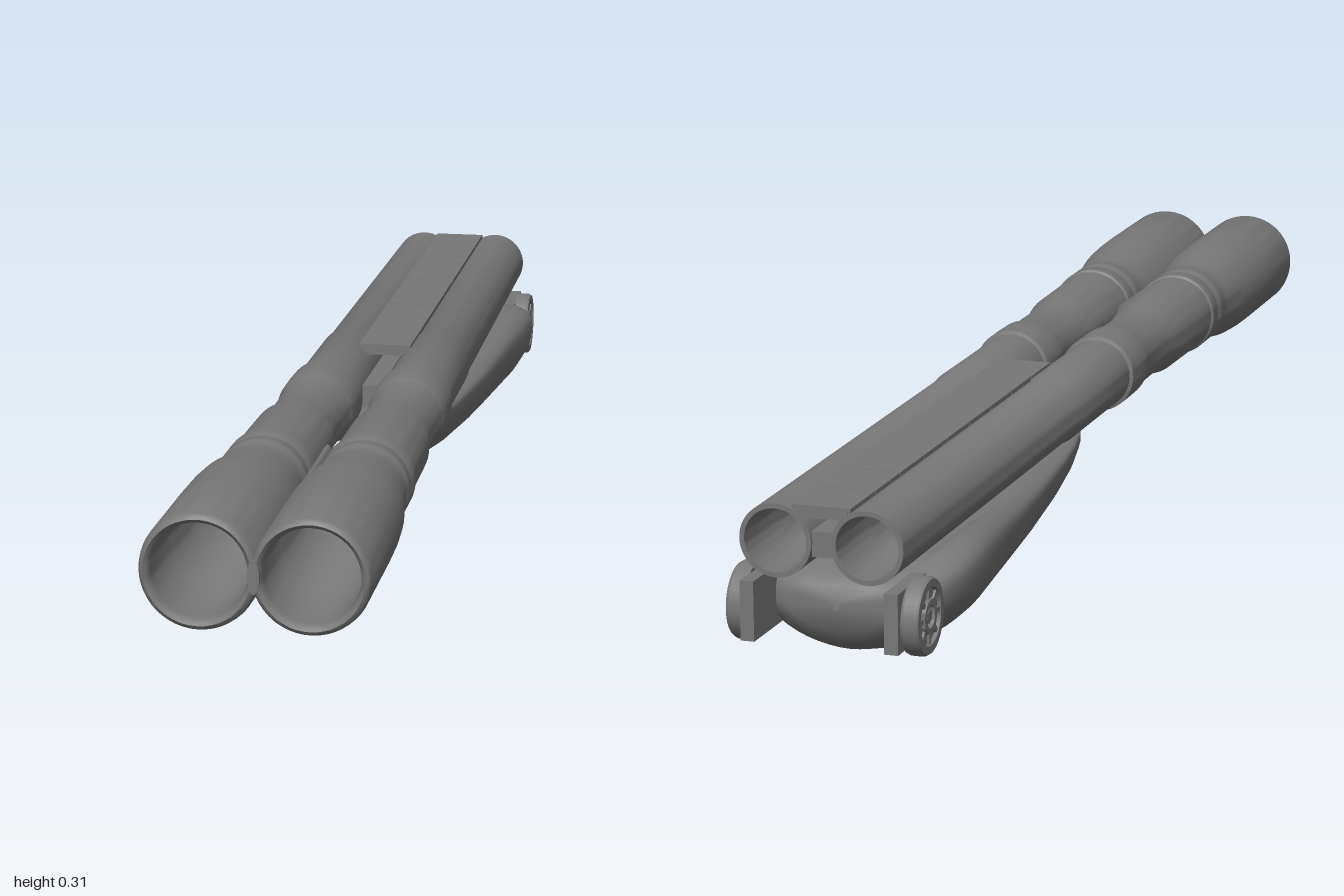
import * as THREE from 'three';
import { toCreasedNormals } from 'three/addons/utils/BufferGeometryUtils.js';

const mat = new THREE.MeshStandardMaterial({ color: 0x777777, side: THREE.DoubleSide });

function add(parent, name, geometry, x = 0, y = 0, z = 0) {
  const mesh = new THREE.Mesh(geometry, mat);
  mesh.name = name;
  mesh.position.set(x, y, z);
  parent.add(mesh);
  return mesh;
}

// Turned tube along z: profile entries are [radius, z]
function turned(profile, segments = 48) {
  const g = new THREE.LatheGeometry(profile.map(([r, z]) => new THREE.Vector2(r, z)), segments);
  return toCreasedNormals(g.rotateX(Math.PI / 2), 0.7);
}

// Outside from breech to muzzle, then the stepped bore back to the breech
const barrelProfile = [
  [0.052, -0.985], [0.053, -0.205], [0.0555, -0.2], [0.0555, 0.048], [0.061, 0.05], [0.0615, 0.09], [0.061, 0.13],
  [0.0585, 0.142], [0.056, 0.15], [0.0555, 0.26], [0.058, 0.29], [0.0635, 0.325], [0.0655, 0.5],
  [0.069, 0.503], [0.069, 0.53], [0.067, 0.534], [0.067, 0.544], [0.069, 0.548], [0.069, 0.57], [0.067, 0.574],
  [0.069, 0.6], [0.073, 0.64], [0.079, 0.68], [0.082, 0.73], [0.083, 0.8],
  [0.083, 0.98], [0.0815, 0.989], [0.078, 0.995], [0.0745, 0.997], [0.071, 0.994], [0.068, 0.988], [0.067, 0.978],
  [0.066, 0.85], [0.063, 0.845], [0.061, 0.7], [0.057, 0.695], [0.055, 0.55], [0.051, 0.545],
  [0.049, 0.4], [0.046, 0.1], [0.041, -0.6], [0.039, -0.85], [0.045, -0.87], [0.045, -0.985], [0.052, -0.985],
];

// Fore-end stations: [z, half width, bottom y, widest y, top y]
const foreEndStations = [
  [0.035, 0.012, 0.148, 0.154, 0.157], [0.02, 0.04, 0.13, 0.15, 0.157], [-0.02, 0.066, 0.1, 0.147, 0.157],
  [-0.08, 0.085, 0.073, 0.143, 0.157], [-0.15, 0.098, 0.053, 0.14, 0.157], [-0.25, 0.111, 0.037, 0.137, 0.158],
  [-0.4, 0.126, 0.021, 0.133, 0.161], [-0.52, 0.136, 0.011, 0.131, 0.166], [-0.63, 0.146, 0.004, 0.13, 0.175],
  [-0.72, 0.156, 0.001, 0.13, 0.182], [-0.79, 0.16, 0.006, 0.13, 0.178], [-0.84, 0.153, 0.014, 0.125, 0.165],
  [-0.88, 0.135, 0.025, 0.115, 0.15], [-0.91, 0.11, 0.042, 0.105, 0.14], [-0.927, 0.075, 0.065, 0.1, 0.13],
  [-0.932, 0.004, 0.095, 0.1, 0.105],
];

function foreEndGeometry(n = 48) {
  const pos = [], idx = [];
  foreEndStations.forEach(([z, w, bottom, mid, top], i) => {
    for (let j = 0; j < n; j++) {
      const a = (j / n) * Math.PI * 2, c = Math.cos(a), s = Math.sin(a);
      const x = w * Math.sign(c) * Math.pow(Math.abs(c), s > 0 ? 0.55 : 1.1);
      let y = s > 0 ? mid + (top - mid) * Math.pow(s, 0.7) : mid + (mid - bottom) * s;
      // Seat the inner top against the barrels
      if (Math.abs(x) < 0.112) y = Math.min(y, 0.157);
      pos.push(x, y, z);
      if (i > 0) {
        const k = (j + 1) % n, p = (i - 1) * n, q = i * n;
        idx.push(p + j, p + k, q + j, p + k, q + k, q + j);
      }
    }
  });
  const g = new THREE.BufferGeometry();
  g.setAttribute('position', new THREE.Float32BufferAttribute(pos, 3));
  g.setIndex(idx);
  g.computeVertexNormals();
  return g;
}

// Round hinge cap with a raised rim, spokes and a hexagonal centre
function hinge(side) {
  const g = new THREE.Group();
  g.name = side > 0 ? 'leftHinge' : 'rightHinge';
  const disc = turned([[0, -0.013], [0.053, -0.013], [0.055, -0.008], [0.055, 0.008], [0.052, 0.013],
    [0.041, 0.013], [0.039, 0.008], [0.026, 0.008], [0.024, 0.013], [0.016, 0.013], [0.015, 0.006], [0, 0.006]], 32);
  add(g, 'hingeDisc', disc);
  for (let i = 0; i < 8; i++) {
    const a = (i / 8) * Math.PI * 2;
    const spoke = add(g, 'hingeSpoke', new THREE.BoxGeometry(0.014, 0.007, 0.004),
      Math.cos(a) * 0.0325, Math.sin(a) * 0.0325, 0.0095);
    spoke.rotation.z = a;
  }
  add(g, 'hingeBolt', new THREE.CylinderGeometry(0.01, 0.01, 0.006, 6).rotateX(Math.PI / 2), 0, 0, 0.008);
  g.rotation.y = side * Math.PI / 2;
  g.position.set(side * 0.126, 0.101, -0.936);
  return g;
}

export function createModel() {
  const model = new THREE.Group();
  model.name = 'doubleBarrelAssembly';

  // Barrels, converging slightly toward the breech
  const barrelGeometry = turned(barrelProfile);
  for (const side of [1, -1]) {
    const barrel = add(model, side > 0 ? 'leftBarrel' : 'rightBarrel', barrelGeometry, side * 0.0715, 0.214, 0);
    barrel.rotation.set(-0.011, side * 0.0055, 0);
  }

  // Joining strip between the barrels, and the bridge near the muzzles
  const strip = add(model, 'joiningStrip', new THREE.BoxGeometry(0.03, 0.036, 1.01), 0, 0.207, -0.475);
  strip.rotation.x = -0.011;
  add(model, 'muzzleBridge', new THREE.CylinderGeometry(0.024, 0.024, 0.57, 20).rotateX(Math.PI / 2).scale(0.35, 1, 1), 0, 0.223, 0.714);

  // Sighting rib: a base plate topped by closely spaced slats
  const rib = new THREE.Group();
  rib.name = 'sightingRib';
  add(rib, 'ribBase', new THREE.BoxGeometry(0.076, 0.012, 0.88), 0, -0.005, 0);
  const slats = 9, pitch = 0.88 / slats;
  for (let i = 0; i < slats; i++) {
    add(rib, 'ribSlat', new THREE.BoxGeometry(0.084, 0.007, pitch - 0.002), 0, 0.0025, (i - (slats - 1) / 2) * pitch);
  }
  rib.position.set(0, 0.254, -0.542);
  rib.rotation.x = -0.011;
  model.add(rib);

  // Fore-end grip under the barrels
  add(model, 'foreEnd', foreEndGeometry());

  // Hinge caps and the cheek plates that carry them
  for (const side of [1, -1]) {
    model.add(hinge(side));
    add(model, 'hingePlate', new THREE.BoxGeometry(0.02, 0.085, 0.11), side * 0.104, 0.104, -0.943);
  }
  return model;
}
